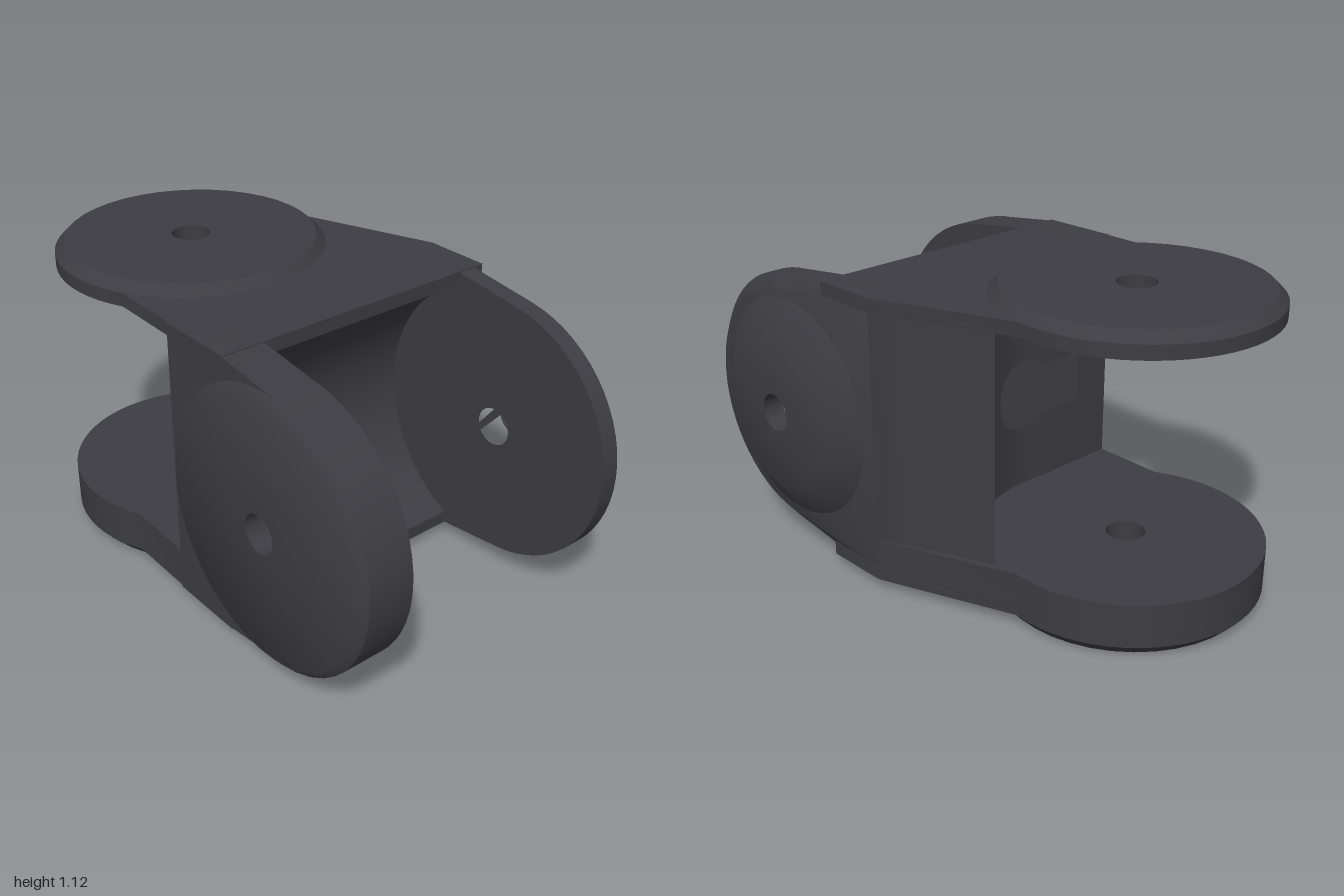
import * as THREE from 'three';
import { toCreasedNormals } from 'three/addons/utils/BufferGeometryUtils.js';

const MID = 0.565;           // height of the front pivot
const FRONT_Z = 0.51;        // depth of the front pivot
const REAR = [-0.135, -0.51]; // x, z of the rear pivot
const R = 0.49;              // lug radius
const HOLE = 0.07;           // pin hole radius
const CUT = 0.52;            // radius of the front clearance

const material = new THREE.MeshStandardMaterial({ color: 0x3c3c42 });

function part(group, name, geometry, crease = 0.7) {
  const mesh = new THREE.Mesh(toCreasedNormals(geometry, crease), material);
  mesh.name = name;
  group.add(mesh);
  return mesh;
}

function pinHole(x, y) {
  return new THREE.Path().absarc(x, y, HOLE, 0, Math.PI * 2, true);
}

// Slanted outer wall running from the rear lug to the left cheek
const slant = (x) => -0.34 + (x - 0.36) * 2.17;

// Front cheek: rounded plate with a chamfered outer rim; side is +1 or -1
function cheek(side, layers, rearZ, rim) {
  const X = (z) => -side * z;
  const shape = new THREE.Shape();
  shape.moveTo(X(rearZ), 0.04);
  shape.lineTo(X(0.27), 0.04);
  for (let i = 0; i <= 28; i++) {
    const a = -1.45 + (2.9 * i) / 28;
    shape.lineTo(X(FRONT_Z + R * Math.cos(a)), MID + R * Math.sin(a));
  }
  shape.lineTo(X(0.27), 1.09);
  shape.lineTo(X(rearZ), 1.09);
  shape.closePath();
  shape.holes.push(pinHole(X(FRONT_Z), MID));
  const g = new THREE.ExtrudeGeometry(shape, { depth: 2, steps: 2, bevelEnabled: false, curveSegments: 24 });
  const p = g.attributes.position;
  for (let i = 0; i < p.count; i++) {
    const layer = Math.round(p.getZ(i));
    const x = side * layers[layer];
    let y = p.getY(i);
    let z = -side * p.getX(i);
    if (layer === 2 && Math.hypot(y - MID, z - FRONT_Z) > 0.3) {
      y = MID + (y - MID) * rim;
      if (z > FRONT_Z) z = FRONT_Z + (z - FRONT_Z) * rim;
    }
    if (side > 0) z = Math.max(z, slant(x));
    p.setXYZ(i, x, y, z);
  }
  return g;
}

// Horizontal deck joined to a round rear lug
function deck(y0, y1, frontZ) {
  const shape = new THREE.Shape();
  shape.moveTo(-0.58, -frontZ);
  shape.lineTo(0.54, -frontZ);
  if (frontZ > 0.05) shape.lineTo(0.54, -0.05);
  for (let i = 0; i <= 36; i++) {
    const a = -0.12 + (3.74 * i) / 36;
    shape.lineTo(REAR[0] + R * Math.cos(a), -REAR[1] + R * Math.sin(a));
  }
  shape.closePath();
  shape.holes.push(pinHole(REAR[0], -REAR[1]));
  const g = new THREE.ExtrudeGeometry(shape, { depth: y1 - y0, bevelEnabled: false, curveSegments: 24 });
  return g.rotateX(-Math.PI / 2).translate(0, y0, 0);
}

// Raised round boss with a sloping rim and a pin hole, facing +y
function boss(outer, inner, height, rise = 0) {
  const pts = [[outer, 0], [outer, rise], [inner, height], [HOLE, height], [HOLE, 0]];
  return new THREE.LatheGeometry(pts.filter((q, i) => i !== 1 || rise > 0).map((q) => new THREE.Vector2(...q)), 40);
}

// Clearance surfaces of the web: curved across y in front, across x behind
const frontZ = (y) => Math.min(0.3, FRONT_Z - Math.sqrt(Math.max(0, CUT * CUT - (y - MID) ** 2)));
function rearZ(x) {
  if (x > 0.36) return slant(x);
  const dx = Math.max(x, -0.23) - REAR[0];
  return REAR[1] + Math.sqrt(Math.max(0, 0.2682 - dx * dx));
}

// Web between the clearances; the two surfaces meet around the cable opening
function web() {
  const xs = [-0.5, -0.42];
  for (let i = 0; i <= 20; i++) {
    const a = -0.78 + ((Math.PI / 2 + 0.78) * i) / 20;
    xs.push(REAR[0] + 0.135 * Math.sin(a));
  }
  for (let i = 1; i <= 18; i++) xs.push(0.02 * i);
  xs.push(0.43, 0.45);
  const rows = 20;
  const pos = [];
  for (const half of [1, -1]) {
    for (const face of [1, -1]) {
      const point = (i, j) => {
        const x = xs[i];
        const reach = FRONT_Z - rearZ(x);
        const h = reach < CUT ? Math.sqrt(CUT * CUT - reach * reach) : 0;
        const y = MID + half * (h + ((0.475 - h) * j) / rows);
        return [x, y, face > 0 ? frontZ(y) : rearZ(x)];
      };
      for (let i = 0; i < xs.length - 1; i++) {
        for (let j = 0; j < rows; j++) {
          const a = point(i, j), b = point(i + 1, j), c = point(i + 1, j + 1), d = point(i, j + 1);
          const quad = half * face > 0 ? [a, b, c, a, c, d] : [a, c, b, a, d, c];
          for (const v of quad) pos.push(...v);
        }
      }
    }
  }
  const g = new THREE.BufferGeometry();
  g.setAttribute('position', new THREE.Float32BufferAttribute(pos, 3));
  return g;
}

export function createModel() {
  const group = new THREE.Group();
  group.name = 'pivotBracket';

  part(group, 'web', web());

  // Front cheeks with their outer bosses
  part(group, 'leftCheek', cheek(1, [0.43, 0.5, 0.54], -0.19, 0.9));
  part(group, 'rightCheek', cheek(-1, [0.42, 0.55, 0.58], -0.002, 1));
  part(group, 'leftBoss', boss(0.41, 0.28, 0.08).rotateZ(-Math.PI / 2)).position.set(0.54, MID, FRONT_Z);
  part(group, 'rightBoss', boss(R, 0.46, 0.033, 0.008).rotateZ(Math.PI / 2)).position.set(-0.58, MID, FRONT_Z);

  // Upper and lower decks with rear lugs
  part(group, 'topDeck', deck(1.04, 1.09, 0.3));
  part(group, 'bottomDeck', deck(0.04, 0.09, 0.3));
  part(group, 'bottomLug', deck(0.09, 0.2, 0.05));
  part(group, 'topBoss', boss(R, 0.455, 0.035)).position.set(REAR[0], 1.09, REAR[1]);
  part(group, 'bottomBoss', boss(R, 0.455, 0.04).rotateX(Math.PI)).position.set(REAR[0], 0.04, REAR[1]);

  return group;
}
